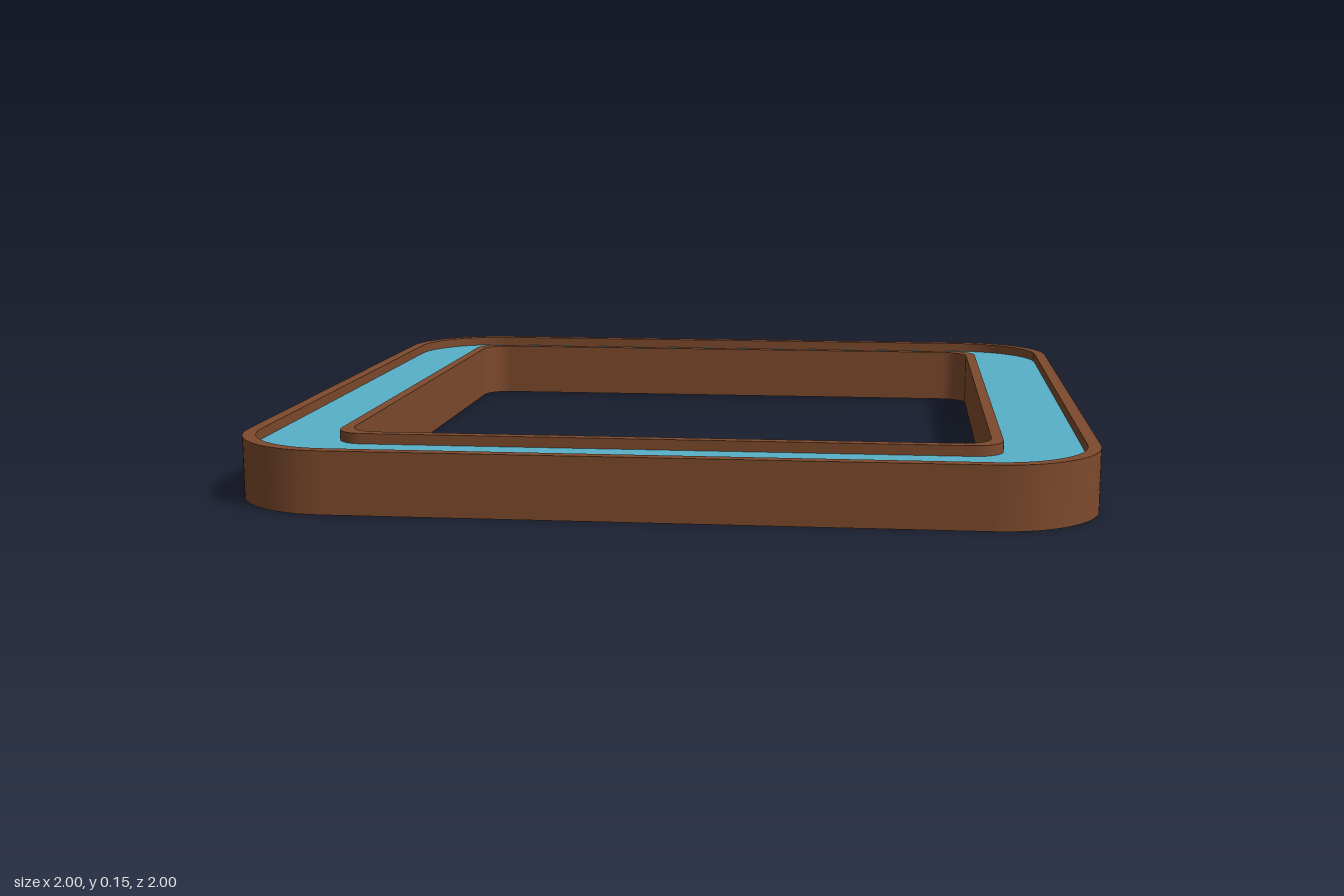
import * as THREE from 'three';

const TOP = 0.147, CORNER_STEPS = 14;

// Corner radius grows from the inner opening to the outer edge
function cornerRadius(h) {
  return h < 0.79 ? 0.07 : THREE.MathUtils.mapLinear(h, 0.79, 1, 0.07, 0.25);
}

// Rounded-square loop of half-size h at height y
function loop(h, y) {
  const r = cornerRadius(h), pts = [];
  for (let c = 0; c < 4; c++) {
    const mid = Math.PI / 4 + c * Math.PI / 2;
    const cx = Math.sign(Math.cos(mid)) * (h - r), cz = Math.sign(Math.sin(mid)) * (h - r);
    for (let i = 0; i <= CORNER_STEPS; i++) {
      const a = (c + i / CORNER_STEPS) * Math.PI / 2;
      pts.push(cx + r * Math.cos(a), y, cz + r * Math.sin(a));
    }
  }
  return pts;
}

// Surface through the loops given by a profile of [half-size, height]
function sweep(profile) {
  const n = 4 * (CORNER_STEPS + 1), index = [];
  const positions = profile.flatMap(([h, y]) => loop(h, y));
  for (let i = 0; i < profile.length - 1; i++) {
    for (let k = 0; k < n; k++) {
      const a = i * n + k, b = i * n + (k + 1) % n;
      index.push(a, a + n, b, b, a + n, b + n);
    }
  }
  const geo = new THREE.BufferGeometry();
  geo.setAttribute('position', new THREE.Float32BufferAttribute(positions, 3));
  geo.setIndex(index);
  geo.computeVertexNormals();
  return geo;
}

export function createModel() {
  const group = new THREE.Group();
  group.name = 'waterChannel';
  const brown = new THREE.MeshStandardMaterial({ name: 'brown', color: 0x7d4a2d, side: THREE.DoubleSide });
  const blue = new THREE.MeshStandardMaterial({ name: 'waterBlue', color: 0x56b0c8 });

  // Round-bottomed trough between the two rims
  const outer = 0.97, inner = 0.784, R = (outer - inner) / 2, mid = (outer + inner) / 2;
  const trough = [[outer, TOP]];
  for (let i = 0; i <= 20; i++) {
    const a = i / 20 * Math.PI;
    trough.push([mid + R * Math.cos(a), R + 0.003 - R * Math.sin(a)]);
  }
  trough.push([inner, TOP]);

  const parts = {
    outerWall: [[1, 0], [1, TOP]],
    outerRim: [[1, TOP], [outer, TOP]],
    trough,
    innerRim: [[inner, TOP], [0.757, TOP]],
    innerWall: [[0.757, TOP], [0.757, 0]],
    water: [[outer, 0.122], [inner, 0.122]],
  };
  for (const [name, profile] of Object.entries(parts)) {
    const mesh = new THREE.Mesh(sweep(profile), name === 'water' ? blue : brown);
    mesh.name = name;
    group.add(mesh);
  }
  return group;
}
